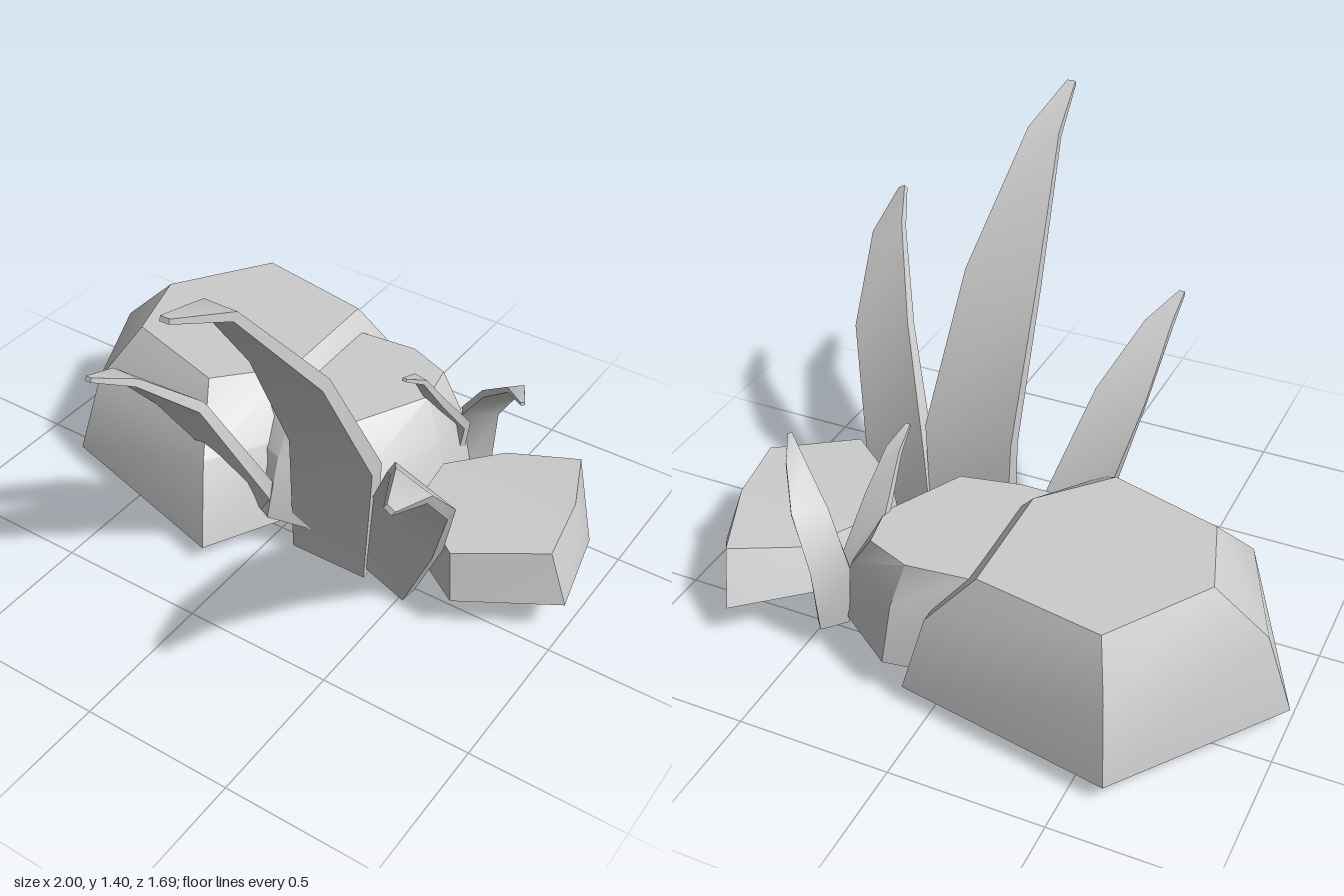
import * as THREE from 'three';
import { toCreasedNormals } from 'three/addons/utils/BufferGeometryUtils.js';

const material = new THREE.MeshStandardMaterial({ color: 0xcccccc, side: THREE.DoubleSide });

// Skin a stack of rings (each counter-clockwise seen from above), with optional bottom cap
function loft(name, rings, closeBottom, crease) {
  const n = rings[0].length;
  const index = [];
  for (let i = 0; i < rings.length - 1; i++) {
    for (let k = 0; k < n; k++) {
      const a = i * n + k, b = i * n + (k + 1) % n;
      index.push(a, b, b + n, a, b + n, a + n);
    }
  }
  const top = (rings.length - 1) * n;
  for (let k = 1; k < n - 1; k++) {
    index.push(top, top + k, top + k + 1);
    if (closeBottom) index.push(0, k + 1, k);
  }
  const geometry = new THREE.BufferGeometry();
  geometry.setAttribute('position', new THREE.Float32BufferAttribute(rings.flat(2), 3));
  geometry.setIndex(index);
  const mesh = new THREE.Mesh(toCreasedNormals(geometry, crease), material);
  mesh.name = name;
  return mesh;
}

// Rock: base outline, bevel ring and flat top, open underneath; outlines hold [x, z]
function rock(name, base, top, baseY, topY, bevelY, bevel) {
  const rings = [base.map(([x, z]) => [x, baseY, z])];
  if (bevelY) {
    rings.push(base.map(([x, z], i) => [
      x + (top[i][0] - x) * bevel, bevelY, z + (top[i][1] - z) * bevel]));
  }
  rings.push(top.map(([x, z, y = topY]) => [x, y, z]));
  return loft(name, rings, false, 0.55);
}

// Leaf: rows of left edge and right edge points, thickened across the blade
function leaf(name, rows, thickBase, thickTip) {
  const pts = rows.map(r => [new THREE.Vector3(...r.slice(0, 3)), new THREE.Vector3(...r.slice(3))]);
  const mids = pts.map(([l, r]) => l.clone().add(r).multiplyScalar(0.5));
  const last = rows.length - 1;
  const rings = pts.map(([l, r], i) => {
    const along = mids[Math.min(i + 1, last)].clone().sub(mids[Math.max(i - 1, 0)]);
    const half = THREE.MathUtils.lerp(thickBase, thickTip, i / last) / 2;
    const normal = r.clone().sub(l).cross(along).normalize().multiplyScalar(half);
    return [l.clone().add(normal), r.clone().add(normal), r.clone().sub(normal), l.clone().sub(normal)]
      .map(p => p.toArray());
  });
  return loft(name, rings, true, 0.7);
}

export function createModel() {
  const group = new THREE.Group();
  group.name = 'rocksWithLeaves';

  // Rocks
  group.add(rock('largeRock',
    [[-1, -0.33], [-0.79, 0.1], [-0.12, 0.285], [0.1, -0.14], [0.1, -0.72], [-0.61, -0.85]],
    [[-0.755, -0.39], [-0.67, -0.12], [-0.3, -0.01], [-0.11, -0.22], [-0.12, -0.64], [-0.54, -0.715]],
    0.06, 0.495, 0.33, 0.33));
  group.add(rock('middleRock',
    [[-0.19, -0.01], [0.01, 0.1], [0.34, 0.03], [0.45, -0.3], [0.41, -0.54], [0.17, -0.71], [-0.03, -0.68]],
    [[-0.16, -0.1], [-0.02, -0.1], [0.18, -0.14], [0.31, -0.4], [0.28, -0.55], [0.13, -0.61], [-0.07, -0.59]],
    0.125, 0.44, 0.32, 0.4));
  group.add(rock('smallRock',
    [[0.4, -0.32], [0.45, -0.07], [0.7, 0.1], [1, -0.085], [0.93, -0.4], [0.735, -0.695], [0.42, -0.42]],
    [[0.44, -0.29, 0.29], [0.47, -0.08], [0.68, 0.085], [0.935, -0.09], [0.89, -0.34],
      [0.79, -0.59, 0.27], [0.57, -0.48, 0.27]],
    0.125, 0.3));

  // Large front leaves
  group.add(leaf('middleFrontLeaf', [
    [0.09, 0.02, 0.03, 0.365, 0.02, 0.03],
    [0.08, 0.47, 0.05, 0.39, 0.47, 0.05],
    [0.105, 0.93, 0.3, 0.36, 0.93, 0.3],
    [0.175, 1.31, 0.62, 0.285, 1.31, 0.62],
    [0.215, 1.4, 0.84, 0.245, 1.4, 0.84]], 0.07, 0.015));
  group.add(leaf('leftFrontLeaf', [
    [0.36, 0.05, 0.02, 0.52, 0.005, 0.04],
    [0.385, 0.36, 0.03, 0.635, 0.27, 0.08],
    [0.56, 0.7, 0.26, 0.77, 0.63, 0.27],
    [0.71, 0.92, 0.51, 0.82, 0.87, 0.5],
    [0.795, 0.97, 0.69, 0.82, 0.955, 0.69]], 0.06, 0.015));
  group.add(leaf('rightFrontLeaf', [
    [-0.14, 0.045, 0.07, -0.02, 0.08, 0.03],
    [-0.24, 0.34, 0.1, 0.01, 0.18, 0.05],
    [-0.285, 0.59, 0.27, -0.12, 0.62, 0.26],
    [-0.3, 0.8, 0.46, -0.21, 0.79, 0.45],
    [-0.295, 0.85, 0.58, -0.275, 0.85, 0.58]], 0.06, 0.015));

  // Small back leaves
  group.add(leaf('middleBackLeaf', [
    [0.3, 0.1, -0.52, 0.38, 0.1, -0.51],
    [0.29, 0.3, -0.52, 0.41, 0.3, -0.5],
    [0.3, 0.46, -0.39, 0.39, 0.46, -0.37],
    [0.31, 0.59, -0.29, 0.36, 0.59, -0.28],
    [0.32, 0.635, -0.2, 0.335, 0.635, -0.2]], 0.04, 0.01));
  group.add(leaf('leftBackLeaf', [
    [0.38, 0.1, -0.55, 0.45, 0.09, -0.61],
    [0.36, 0.31, -0.55, 0.46, 0.31, -0.62],
    [0.46, 0.46, -0.49, 0.55, 0.46, -0.56],
    [0.58, 0.57, -0.42, 0.62, 0.57, -0.46],
    [0.665, 0.595, -0.345, 0.675, 0.595, -0.355]], 0.04, 0.01));

  return group;
}
